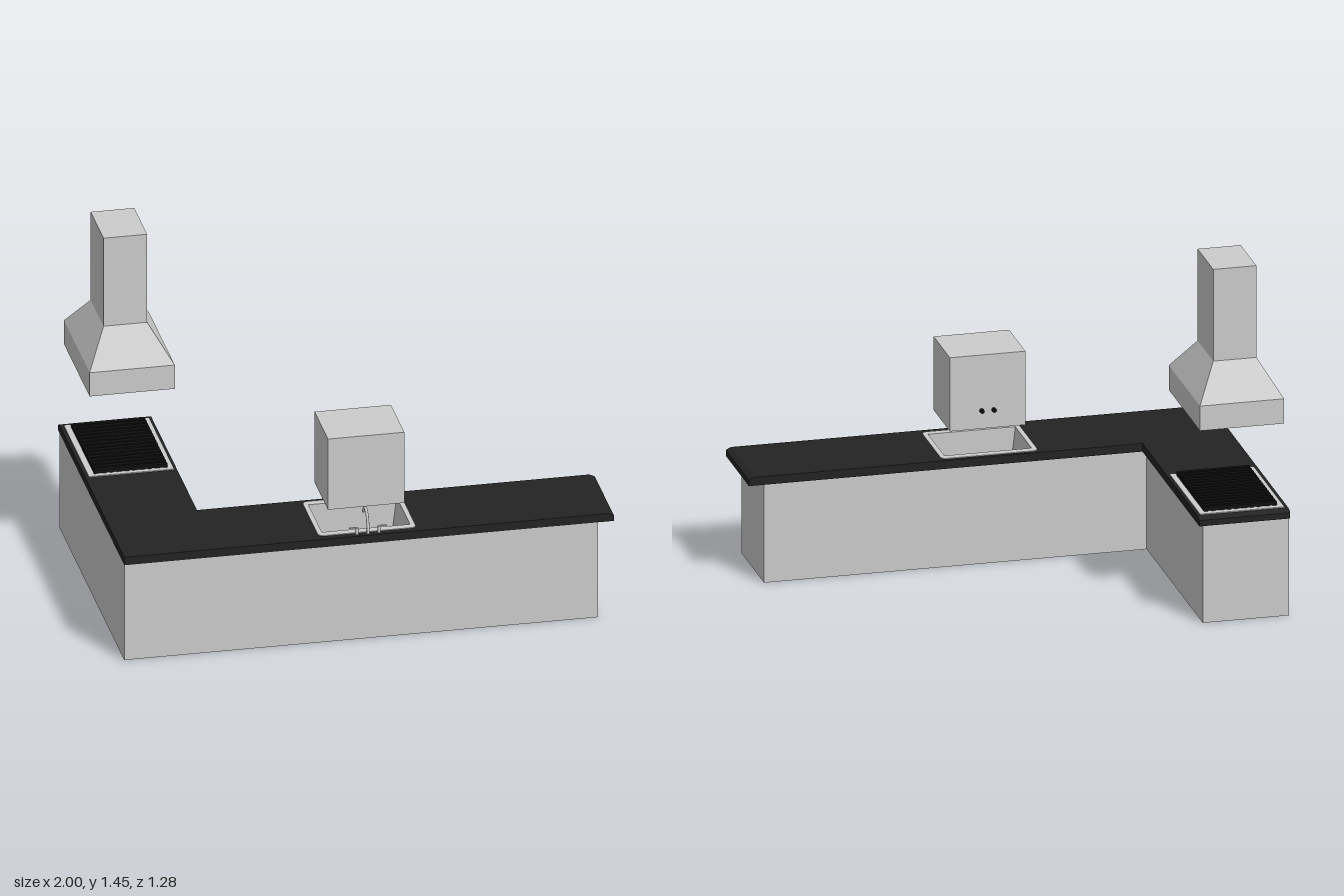
import * as THREE from 'three';

const steel = new THREE.MeshStandardMaterial({ color: 0xcccccc, side: THREE.DoubleSide });
steel.name = 'light grey';
const stone = new THREE.MeshStandardMaterial({ color: 0x232323 });
stone.name = 'dark worktop';
const iron = new THREE.MeshStandardMaterial({ color: 0x111111 });
iron.name = 'black iron';

function add(parent, name, geometry, material) {
  const mesh = new THREE.Mesh(geometry, material);
  mesh.name = name;
  parent.add(mesh);
  return mesh;
}

// Box given by its limits on each axis
function box(x0, x1, y0, y1, z0, z1) {
  return new THREE.BoxGeometry(x1 - x0, y1 - y0, z1 - z0)
    .translate((x0 + x1) / 2, (y0 + y1) / 2, (z0 + z1) / 2);
}

// Removes one box face: 2 = top, 3 = bottom
function dropFace(geometry, face) {
  const index = Array.from(geometry.index.array);
  index.splice(face * 6, 6);
  geometry.setIndex(index);
  geometry.clearGroups();
  return geometry;
}

// Moves every vertex by a rule and refreshes the flat normals
function reshape(geometry, rule) {
  const p = geometry.attributes.position;
  const v = new THREE.Vector3();
  for (let i = 0; i < p.count; i++) {
    v.fromBufferAttribute(p, i);
    rule(v);
    p.setXYZ(i, v.x, v.y, v.z);
  }
  geometry.computeVertexNormals();
  return geometry;
}

// Plan outlines use shape y = -z
function lShape(xEnd, xInner, zInner, zBack) {
  return new THREE.Shape([
    [-1, 0.64], [xEnd, 0.64], [xEnd, zInner], [xInner, zInner], [xInner, zBack], [-1, zBack],
  ].map(([x, z]) => new THREE.Vector2(x, -z)));
}

function rectPath(x0, x1, z0, z1) {
  return new THREE.Path([[x0, z0], [x1, z0], [x1, z1], [x0, z1]]
    .map(([x, z]) => new THREE.Vector2(x, -z)));
}

function slab(shape, y, height, steps = 1) {
  return new THREE.ExtrudeGeometry(shape, { depth: height, steps, bevelEnabled: false, curveSegments: 5 })
    .rotateX(-Math.PI / 2).translate(0, y, 0);
}

function roundedRect(x0, x1, z0, z1, r) {
  const s = new THREE.Shape();
  s.moveTo(x0 + r, -z1);
  s.lineTo(x1 - r, -z1);
  s.quadraticCurveTo(x1, -z1, x1, -z1 + r);
  s.lineTo(x1, -z0 - r);
  s.quadraticCurveTo(x1, -z0, x1 - r, -z0);
  s.lineTo(x0 + r, -z0);
  s.quadraticCurveTo(x0, -z0, x0, -z0 - r);
  s.lineTo(x0, -z1 + r);
  s.quadraticCurveTo(x0, -z1, x0 + r, -z1);
  return s;
}

function buildCounter(root) {
  const hole = () => rectPath(-0.185, 0.185, 0.312, 0.588);
  const base = lShape(0.935, -0.645, 0.28, -0.617);
  base.holes.push(hole());
  add(root, 'baseCabinet', slab(base, 0, 0.42), steel);
  add(root, 'baseFloor', box(-0.19, 0.19, 0, 0.004, 0.305, 0.595), steel);

  // Worktop with a chamfer along its two free ends
  const top = lShape(1, -0.625, 0.27, -0.64);
  top.holes.push(hole());
  const worktop = reshape(slab(top, 0.42, 0.035, 2), (v) => {
    if (v.y > 0.45) {
      if (v.x > 0.99) v.x = 0.978;
      if (v.z < -0.63) v.z = -0.62;
    } else if (v.y > 0.43) v.y = 0.445;
  });
  add(root, 'worktop', worktop, stone);
}

function buildSink(root) {
  const sink = new THREE.Group();
  sink.name = 'sink';
  root.add(sink);
  const rim = roundedRect(-0.2, 0.2, 0.287, 0.612, 0.025);
  rim.holes.push(rectPath(-0.18, 0.18, 0.32, 0.58));
  add(sink, 'sinkRim', slab(rim, 0.455, 0.003), steel);
  // Tapered open bowl
  const bowl = dropFace(new THREE.BoxGeometry(0.36, 0.13, 0.26), 2);
  const p = bowl.attributes.position;
  for (let i = 0; i < p.count; i++) {
    if (p.getY(i) < 0) p.setXYZ(i, p.getX(i) * 0.9, p.getY(i), p.getZ(i) * 0.93);
  }
  add(sink, 'sinkBowl', bowl.translate(0, 0.391, 0.45), steel);
  add(sink, 'drain', new THREE.CylinderGeometry(0.018, 0.018, 0.004, 16).translate(0, 0.329, 0.45), iron);

  // Arched spout and two lever handles
  const spout = new THREE.CatmullRomCurve3([
    [0.455, 0.625], [0.495, 0.618], [0.53, 0.6], [0.543, 0.573], [0.533, 0.55], [0.51, 0.53],
  ].map(([y, z]) => new THREE.Vector3(0, y, z)));
  add(sink, 'spout', new THREE.TubeGeometry(spout, 20, 0.006, 8), steel);
  for (const s of [-1, 1]) {
    add(sink, 'tapStem', new THREE.CylinderGeometry(0.006, 0.007, 0.028, 10)
      .translate(s * 0.045, 0.469, 0.62), steel);
    add(sink, 'tapLever', new THREE.BoxGeometry(0.036, 0.005, 0.009)
      .translate(s * 0.058, 0.482, 0.62), steel);
  }
}

function buildCooktop(root) {
  const hob = new THREE.Group();
  hob.name = 'cooktop';
  root.add(hob);
  const [x0, x1, z0, z1] = [-0.96, -0.66, -0.58, -0.135];
  add(hob, 'hobTray', box(-0.985, -0.637, 0.455, 0.459, -0.605, -0.115), steel);
  // Crossing grate bars
  const cols = 10, rows = 15;
  for (let i = 0; i < cols; i++) {
    const x = x0 + (x1 - x0 - 0.018) * i / (cols - 1);
    add(hob, 'grateBarLong', box(x, x + 0.018, 0.459, 0.472, z0, z1), iron);
  }
  for (let i = 0; i < rows; i++) {
    const z = z0 + (z1 - z0 - 0.018) * i / (rows - 1);
    add(hob, 'grateBarCross', box(x0, x1, 0.461, 0.475, z, z + 0.018), iron);
  }
  // Burners under the grate
  for (const x of [-0.885, -0.735]) {
    for (const z of [-0.47, -0.245]) {
      add(hob, 'burner', new THREE.CylinderGeometry(0.05, 0.055, 0.009, 20).translate(x, 0.4635, z), iron);
    }
  }
}

function buildHood(root) {
  const hood = new THREE.Group();
  hood.name = 'extractorHood';
  root.add(hood);
  add(hood, 'hoodSkirt', dropFace(box(-0.983, -0.635, 0.815, 0.92, -0.61, -0.112), 3), steel);
  const slope = reshape(box(-0.983, -0.635, 0.92, 1.06, -0.61, -0.112), (v) => {
    if (v.y > 1) {
      v.x = v.x < -0.8 ? -0.9 : -0.722;
      v.z = v.z < -0.3 ? -0.486 : -0.236;
    }
  });
  add(hood, 'hoodSlope', slope, steel);
  add(hood, 'chimney', box(-0.9, -0.722, 1.06, 1.45, -0.486, -0.236), steel);
}

function buildHeater(root) {
  const heater = new THREE.Group();
  heater.name = 'waterHeater';
  root.add(heater);
  add(heater, 'heaterBody', box(-0.156, 0.156, 0.557, 0.87, 0.325, 0.585), steel);
  for (const x of [-0.025, 0.025]) {
    add(heater, 'heaterKnob', new THREE.CylinderGeometry(0.009, 0.009, 0.016, 12)
      .rotateX(Math.PI / 2).translate(x, 0.634, 0.317), iron);
  }
}

export function createModel() {
  const root = new THREE.Group();
  root.name = 'kitchen';
  buildCounter(root);
  buildSink(root);
  buildCooktop(root);
  buildHood(root);
  buildHeater(root);
  return root;
}
